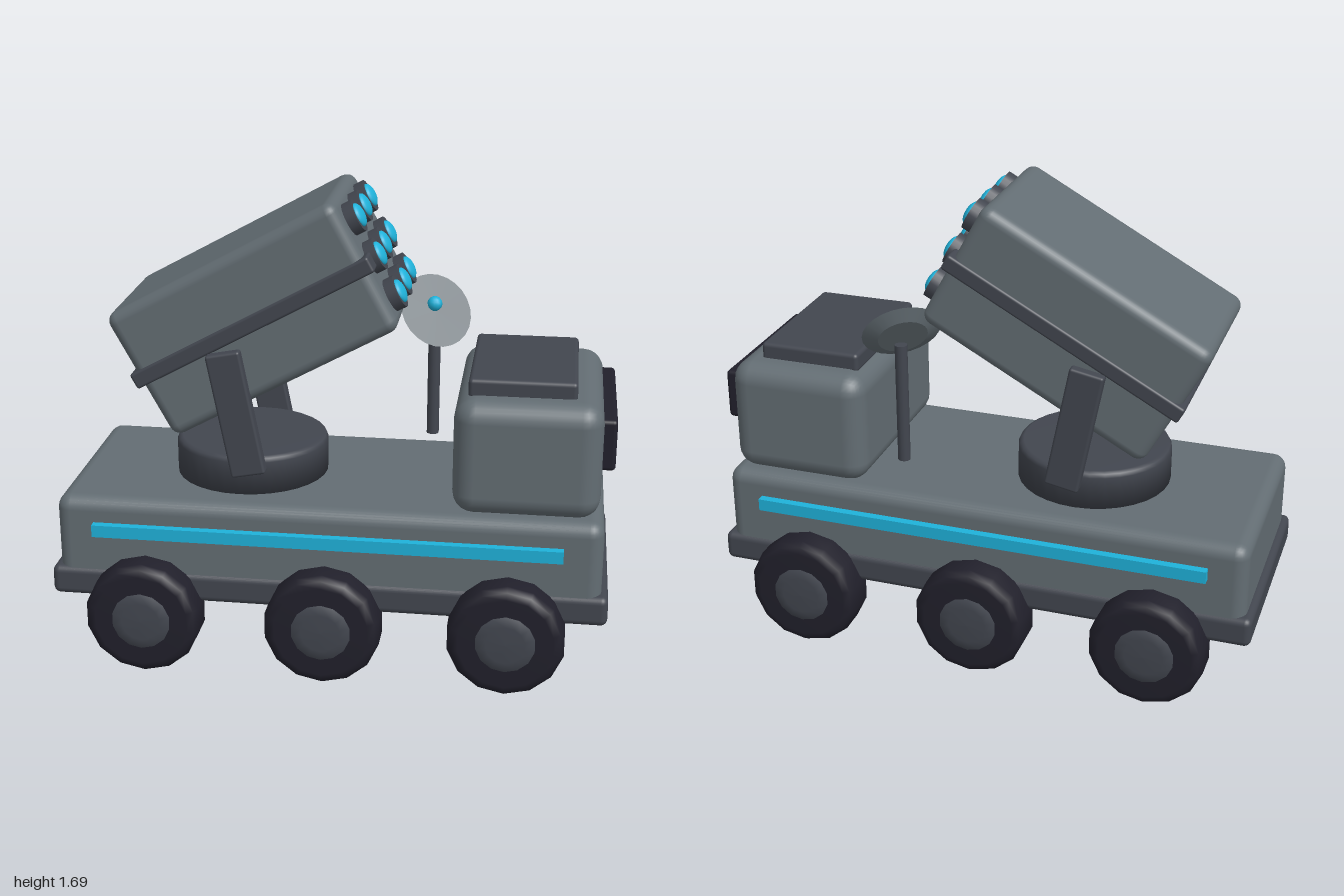
import * as THREE from 'three';
import { RoundedBoxGeometry } from 'three/addons/geometries/RoundedBoxGeometry.js';

const paint = (name, color) => {
  const m = new THREE.MeshStandardMaterial({ color });
  m.name = name;
  return m;
};

export function createModel() {
  const grey = paint('armour grey', 0x636d73);
  const dark = paint('dark grey', 0x42464f);
  const black = paint('tyre black', 0x21202b);
  const cyan = paint('cyan', 0x1fb2da);

  const model = new THREE.Group();
  model.name = 'rocketTruck';

  const add = (name, geometry, material, x, y, z, parent = model) => {
    const mesh = new THREE.Mesh(geometry, material);
    mesh.name = name;
    mesh.position.set(x, y, z);
    parent.add(mesh);
    return mesh;
  };
  const box = (w, h, d, r) => new RoundedBoxGeometry(w, h, d, 3, r);
  // Lathe with its axis turned from y to z
  const turned = (points, sides) =>
    new THREE.LatheGeometry(points.map(p => new THREE.Vector2(...p)), sides).rotateX(Math.PI / 2);

  // Hull and cab
  add('skirt', box(2, 0.11, 0.81, 0.025), dark, 0, 0.305, 0);
  add('hull', box(1.95, 0.37, 0.79, 0.05), grey, 0, 0.445, 0);
  add('cab', box(0.515, 0.42, 0.745, 0.075), grey, 0.6975, 0.835, 0);
  add('roofHatch', box(0.375, 0.07, 0.55, 0.015), dark, 0.6725, 1.067, 0);
  add('windscreen', box(0.08, 0.185, 0.6, 0.015), black, 0.96, 0.89, 0);

  // Wheels with domed hubs, and side stripes
  const tyre = turned([[0, -0.08], [0.17, -0.08], [0.195, -0.072], [0.21, -0.05],
    [0.21, 0.05], [0.195, 0.072], [0.17, 0.08], [0, 0.08]], 14);
  const hub = turned([[0, -0.09], [0.07, -0.088], [0.105, -0.084], [0.11, -0.07],
    [0.11, 0.07], [0.105, 0.084], [0.07, 0.088], [0, 0.09]], 14);
  for (const side of [-1, 1]) {
    for (const x of [-0.65, 0, 0.65]) {
      const wheel = new THREE.Group();
      wheel.name = 'wheel';
      wheel.position.set(x, 0.21, side * 0.42);
      model.add(wheel);
      add('tyre', tyre, black, 0, 0, 0, wheel);
      add('hub', hub, dark, 0, 0, 0, wheel);
    }
    add('sideStripe', new THREE.BoxGeometry(1.675, 0.045, 0.04), cyan, 0, 0.517, side * 0.405);
    // Launcher arms
    add('launcherArm', box(0.125, 0.46, 0.05, 0.01), dark, -0.328, 0.94, side * 0.29)
      .rotation.z = 0.19;
  }

  // Turntable
  const table = [[0, 0], [0.28, 0], [0.28, 0.12], [0.273, 0.133], [0.26, 0.14], [0, 0.14]];
  add('turntable', new THREE.LatheGeometry(table.map(p => new THREE.Vector2(...p)), 32),
    dark, -0.325, 0.63, 0);

  // Tilted launcher with its band and nine tubes
  const launcher = new THREE.Group();
  launcher.name = 'launcher';
  launcher.position.set(-0.275, 1.268, 0);
  launcher.rotation.z = 0.5;
  model.add(launcher);
  add('launcherBox', box(0.92, 0.5, 0.56, 0.04), grey, 0, 0, 0, launcher);
  add('launcherBand', box(0.96, 0.06, 0.575, 0.01), dark, 0, 0, 0, launcher);
  const tube = new THREE.CylinderGeometry(0.06, 0.06, 0.1, 20).rotateZ(-Math.PI / 2);
  const tip = new THREE.SphereGeometry(0.044, 16, 8, 0, Math.PI * 2, 0, Math.PI / 2)
    .scale(1, 0.45, 1).rotateZ(-Math.PI / 2);
  for (const y of [-0.15, 0, 0.15]) {
    for (const z of [-0.16, 0, 0.16]) {
      add('tube', tube, dark, 0.447, y, z, launcher);
      add('rocketTip', tip, cyan, 0.4965, y, z, launcher);
    }
  }

  // Radar mast and tilted dish
  add('radarMast', new THREE.CylinderGeometry(0.023, 0.023, 0.45, 12), dark, 0.325, 0.93, -0.25);
  const radar = new THREE.Group();
  radar.name = 'radar';
  radar.position.set(0.325, 1.19, -0.235);
  radar.quaternion.setFromUnitVectors(new THREE.Vector3(0, 1, 0),
    new THREE.Vector3(0.47, 0.55, 0.68).normalize());
  model.add(radar);
  add('radarDish', new THREE.CylinderGeometry(0.143, 0.09, 0.025, 24), grey, 0, 0, 0, radar);
  add('radarFeed', new THREE.SphereGeometry(0.028, 12, 8), cyan, 0.325, 1.222, -0.228);

  return model;
}
